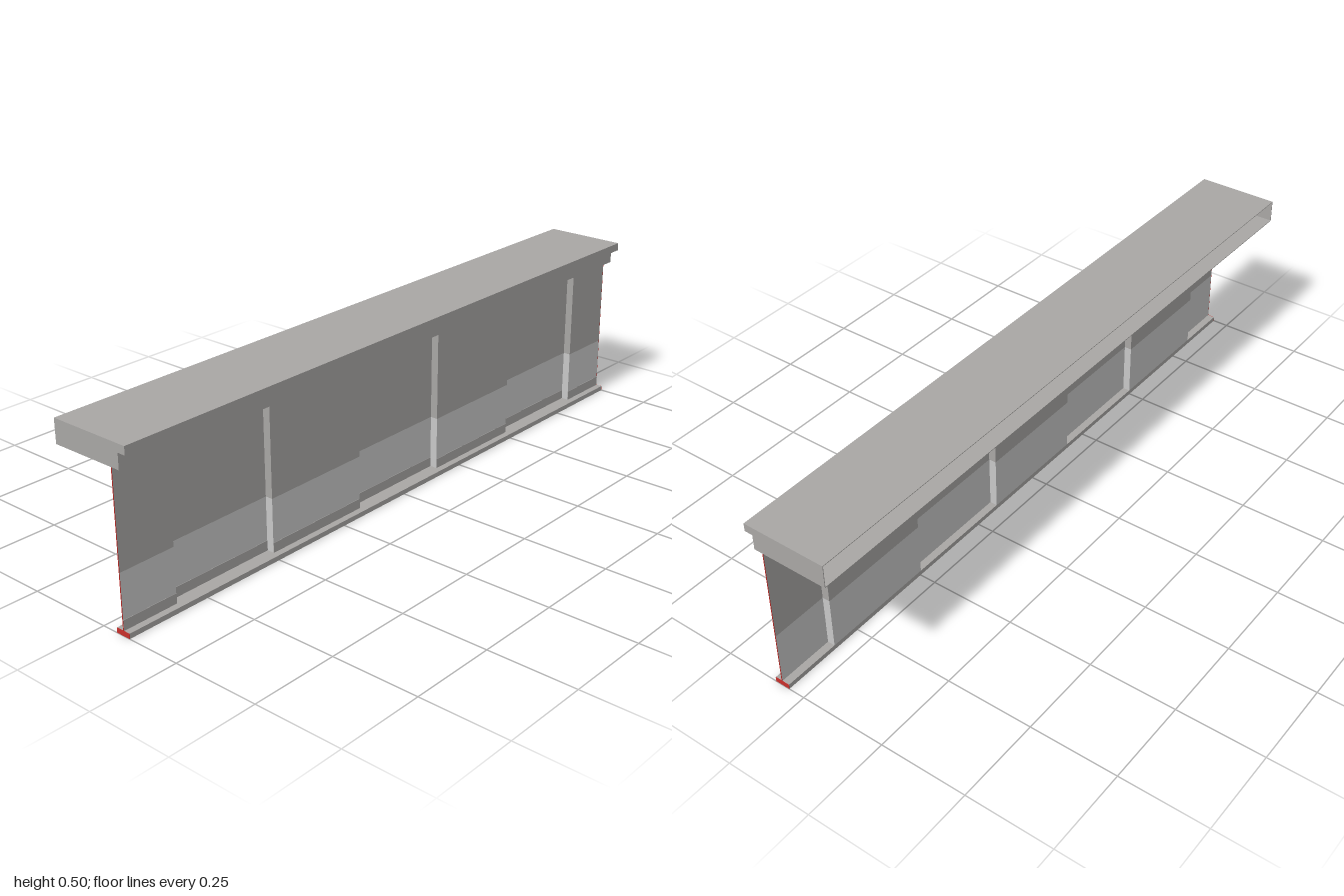
import * as THREE from 'three';

const mat = (name, color) => new THREE.MeshStandardMaterial({ name, color });

export function createModel() {
  const grey = mat('warm grey', 0xa9a7a5);
  const pale = mat('pale grey', 0xc8c8c8);
  const red = mat('red', 0xc8302c);
  const model = new THREE.Group();

  const add = (parent, name, geometry, material) => {
    const mesh = new THREE.Mesh(geometry, material);
    mesh.name = name;
    parent.add(mesh);
    return mesh;
  };
  // Box given by its extents on each axis
  const slab = (parent, name, material, [x0, x1], [y0, y1], [z0, z1]) => {
    const g = new THREE.BoxGeometry(x1 - x0, y1 - y0, z1 - z0);
    g.translate((x0 + x1) / 2, (y0 + y1) / 2, (z0 + z1) / 2);
    return add(parent, name, g, material);
  };
  const group = (name) => {
    const g = new THREE.Group();
    g.name = name;
    model.add(g);
    return g;
  };

  // Sheet wall that alternates between a forward and a recessed plane
  const T = 0.002, FRONT = 0.072, BACK = 0.05, END = 0.999;
  const RAIL = 0.014, PAINT = 0.167, TOP = 0.434;
  const steps = [-5, -3, -1, 1, 3, 5].map((n) => n / 6);
  const outer = [[-END, FRONT]], inner = [[-END, FRONT - T]];
  steps.forEach((x, i) => {
    const goesBack = i % 2 === 0;
    const [from, to] = goesBack ? [FRONT, BACK] : [BACK, FRONT];
    const shifted = x + (goesBack ? -T : T);
    outer.push([x, from], [x, to]);
    inner.push([shifted, from - T], [shifted, to - T]);
  });
  outer.push([END, FRONT]);
  inner.push([END, FRONT - T]);
  const plan = new THREE.Shape(
    [...outer, ...inner.reverse()].map(([x, z]) => new THREE.Vector2(x, -z)));

  const wall = group('wall');
  const wallBand = (name, material, y0, y1) => {
    const g = new THREE.ExtrudeGeometry(plan, { depth: y1 - y0, bevelEnabled: false });
    g.rotateX(-Math.PI / 2).translate(0, y0, 0);
    add(wall, name, g, material);
  };
  wallBand('lowerWall', pale, RAIL, PAINT);
  wallBand('upperWall', grey, PAINT, TOP);

  // Painted skirting on the front of each panel
  const edges = [-END, ...steps, END];
  for (let i = 0; i < edges.length - 1; i++) {
    const z = i % 2 === 0 ? FRONT : BACK;
    slab(wall, 'skirting', grey, [edges[i], edges[i + 1]], [RAIL, 0.042], [z, z + 0.001]);
  }

  // Base rail, with red ends on rail and wall
  const base = group('base');
  slab(base, 'baseRail', grey, [-END, END], [0, RAIL], [0.048, 0.092]);
  for (const s of [-1, 1]) {
    const x = s < 0 ? [-1, -END] : [END, 1];
    slab(base, 'railEnd', red, x, [0, RAIL], [0.048, 0.092]);
    slab(wall, 'wallEdge', red, x, [RAIL, TOP], [FRONT - T, FRONT]);
  }

  // Hollow canopy, open at the back
  const canopy = group('canopy');
  const span = [-0.998, 0.998];
  slab(canopy, 'canopyTop', grey, span, [0.498, 0.5], [-0.121, 0.121]);
  slab(canopy, 'lipFront', grey, span, [0.477, 0.498], [0.119, 0.121]);
  slab(canopy, 'lipUnderside', grey, span, [0.477, 0.479], [0.095, 0.119]);
  slab(canopy, 'fascia', grey, span, [0.434, 0.477], [0.095, 0.097]);
  slab(canopy, 'soffit', grey, span, [0.434, 0.436], [-0.121, 0.095]);

  // Stepped end plates (profile drawn in z and y)
  const profile = new THREE.Shape([
    [-0.121, 0.434], [0.097, 0.434], [0.097, 0.477],
    [0.121, 0.477], [0.121, 0.5], [-0.121, 0.5],
  ].map(([z, y]) => new THREE.Vector2(-z, y)));
  for (const x of [-1, 0.998]) {
    const g = new THREE.ExtrudeGeometry(profile, { depth: T, bevelEnabled: false });
    g.rotateY(Math.PI / 2).translate(x, 0, 0);
    add(canopy, 'canopyEnd', g, grey);
  }
  return model;
}
